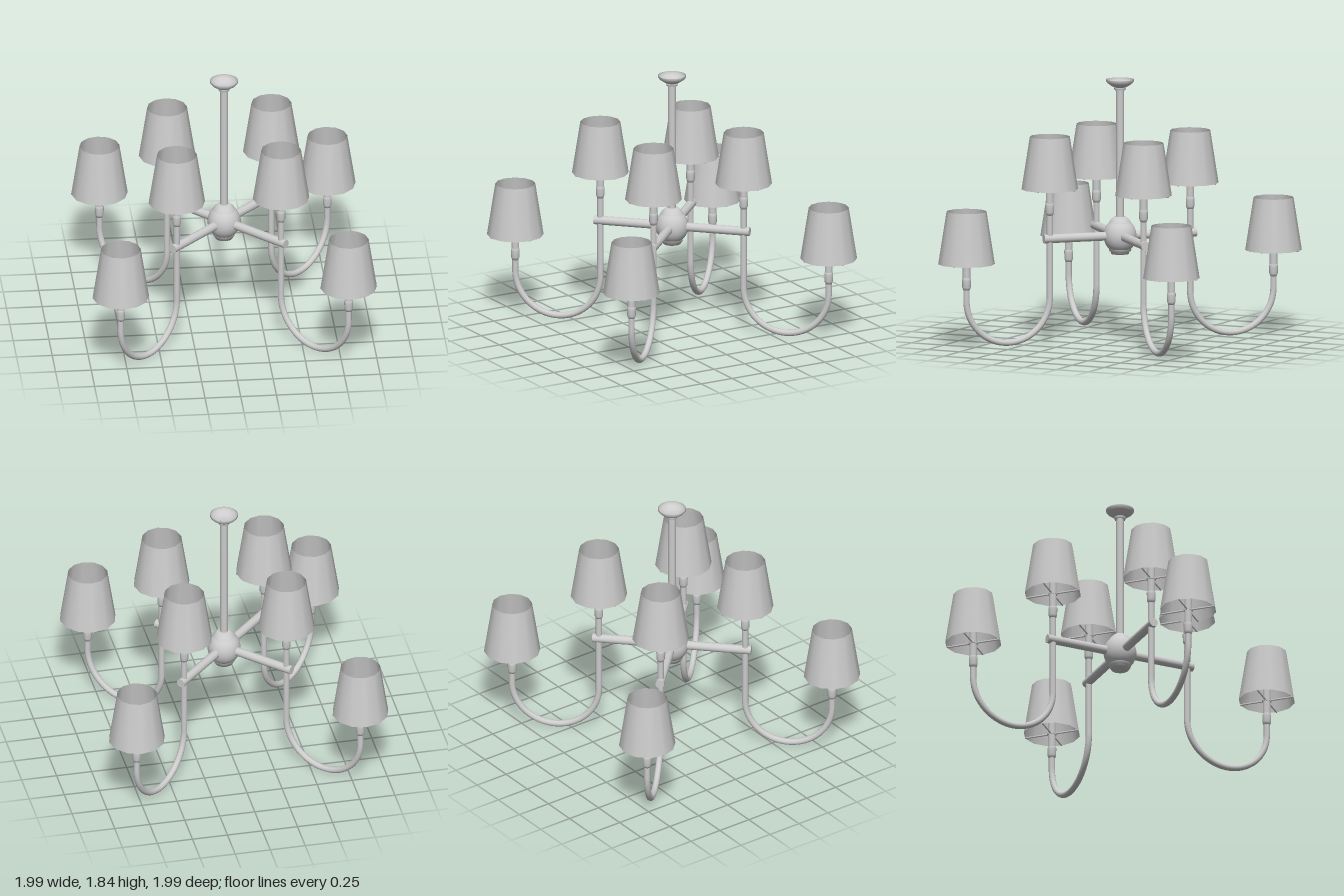
import * as THREE from 'three';

const metal = new THREE.MeshStandardMaterial({ color: 0xcccccc });
const thin = new THREE.MeshStandardMaterial({ color: 0xcccccc, side: THREE.DoubleSide });

function add(parent, name, geometry, material = metal) {
  const mesh = new THREE.Mesh(geometry, material);
  mesh.name = name;
  parent.add(mesh);
  return mesh;
}

// Lathe from [radius, y] pairs listed from bottom to top
function lathe(points, segments = 24) {
  return new THREE.LatheGeometry(points.map(([r, y]) => new THREE.Vector2(r, y)), segments);
}

// One lamp; its origin is the middle of the shade's lower rim
function createLamp(name) {
  const lamp = new THREE.Group();
  lamp.name = name;

  add(lamp, 'socketCup', lathe([
    [0, -0.185], [0.022, -0.185], [0.03, -0.165], [0.031, -0.12],
    [0.031, -0.105], [0.027, -0.1], [0, -0.1],
  ], 16));
  add(lamp, 'candleSleeve', new THREE.CylinderGeometry(0.027, 0.027, 0.2, 16)).position.y = -0.005;

  // Bulb with a short neck
  add(lamp, 'bulb', lathe([
    [0.02, 0.09], [0.028, 0.105], [0.05, 0.13], [0.062, 0.155], [0.065, 0.175],
    [0.06, 0.2], [0.046, 0.222], [0.025, 0.236], [0, 0.24],
  ], 20));

  // Open shade held by a collar and four spokes
  add(lamp, 'shade', new THREE.CylinderGeometry(0.14, 0.198, 0.37, 12, 1, true), thin).position.y = 0.185;
  add(lamp, 'shadeCollar', new THREE.CylinderGeometry(0.032, 0.032, 0.014, 16));
  for (let i = 0; i < 4; i++) {
    const spoke = new THREE.Group();
    spoke.rotation.y = i * Math.PI / 2;
    lamp.add(spoke);
    const rod = add(spoke, 'shadeSpoke', new THREE.CylinderGeometry(0.006, 0.006, 0.17, 6));
    rod.rotation.z = Math.PI / 2;
    rod.position.set(0.112, 0.002, 0);
  }
  return lamp;
}

// One arm along local +x: bar, hooked tube and two lamps
function createArm(angle) {
  const arm = new THREE.Group();
  arm.name = 'arm';
  arm.rotation.y = angle;
  const inner = 0.365 * Math.SQRT2, outer = 0.798 * Math.SQRT2;
  const radius = (outer - inner) / 2, bendY = radius + 0.022;

  const bar = add(arm, 'crossBar', new THREE.CylinderGeometry(0.031, 0.031, 0.5, 20));
  bar.rotation.z = Math.PI / 2;
  bar.position.set(0.31, 0.74, 0);

  // Straight stem, half-circle hook and short riser
  const stem = add(arm, 'stem', new THREE.CylinderGeometry(0.022, 0.022, 0.92 - bendY, 16));
  stem.position.set(inner, (0.92 + bendY) / 2, 0);
  const hook = add(arm, 'hook', new THREE.TorusGeometry(radius, 0.022, 16, 40, Math.PI));
  hook.rotation.z = Math.PI;
  hook.position.set(inner + radius, bendY, 0);
  const riser = add(arm, 'riser', new THREE.CylinderGeometry(0.022, 0.022, 0.42 - bendY, 16));
  riser.position.set(outer, (0.42 + bendY) / 2, 0);

  // Lamps turned back so that their spokes follow the main axes
  for (const [name, x, y] of [['upperLamp', inner, 1.09], ['lowerLamp', outer, 0.59]]) {
    const lamp = createLamp(name);
    lamp.position.set(x, y, 0);
    lamp.rotation.y = -angle;
    arm.add(lamp);
  }
  return arm;
}

export function createModel() {
  const chandelier = new THREE.Group();
  chandelier.name = 'chandelier';

  // Hub: rounded body between stepped end caps
  const body = [];
  for (let i = 0; i <= 12; i++) {
    const a = THREE.MathUtils.lerp(-0.85, 0.85, i / 12);
    body.push([0.115 * Math.cos(a), 0.74 + 0.125 * Math.sin(a)]);
  }
  add(chandelier, 'hubBody', lathe(body, 32));
  add(chandelier, 'hubTopCap', lathe([
    [0.078, 0.832], [0.074, 0.84], [0.062, 0.855], [0.045, 0.873], [0, 0.874],
  ], 32));
  add(chandelier, 'hubBottomCap', lathe([
    [0, 0.612], [0.062, 0.612], [0.064, 0.626], [0.074, 0.63], [0.08, 0.648],
  ], 32));

  // Hanging rod and ceiling dish, open at the top
  add(chandelier, 'rod', new THREE.CylinderGeometry(0.027, 0.027, 0.93, 20)).position.y = 1.325;
  add(chandelier, 'canopyCollar', new THREE.CylinderGeometry(0.042, 0.038, 0.016, 24)).position.y = 1.773;
  add(chandelier, 'canopy', lathe([
    [0, 1.785], [0.042, 1.785], [0.062, 1.796], [0.085, 1.812], [0.097, 1.826], [0.097, 1.84],
  ], 32), thin);

  for (let i = 0; i < 4; i++) chandelier.add(createArm(Math.PI / 4 + i * Math.PI / 2));
  return chandelier;
}
